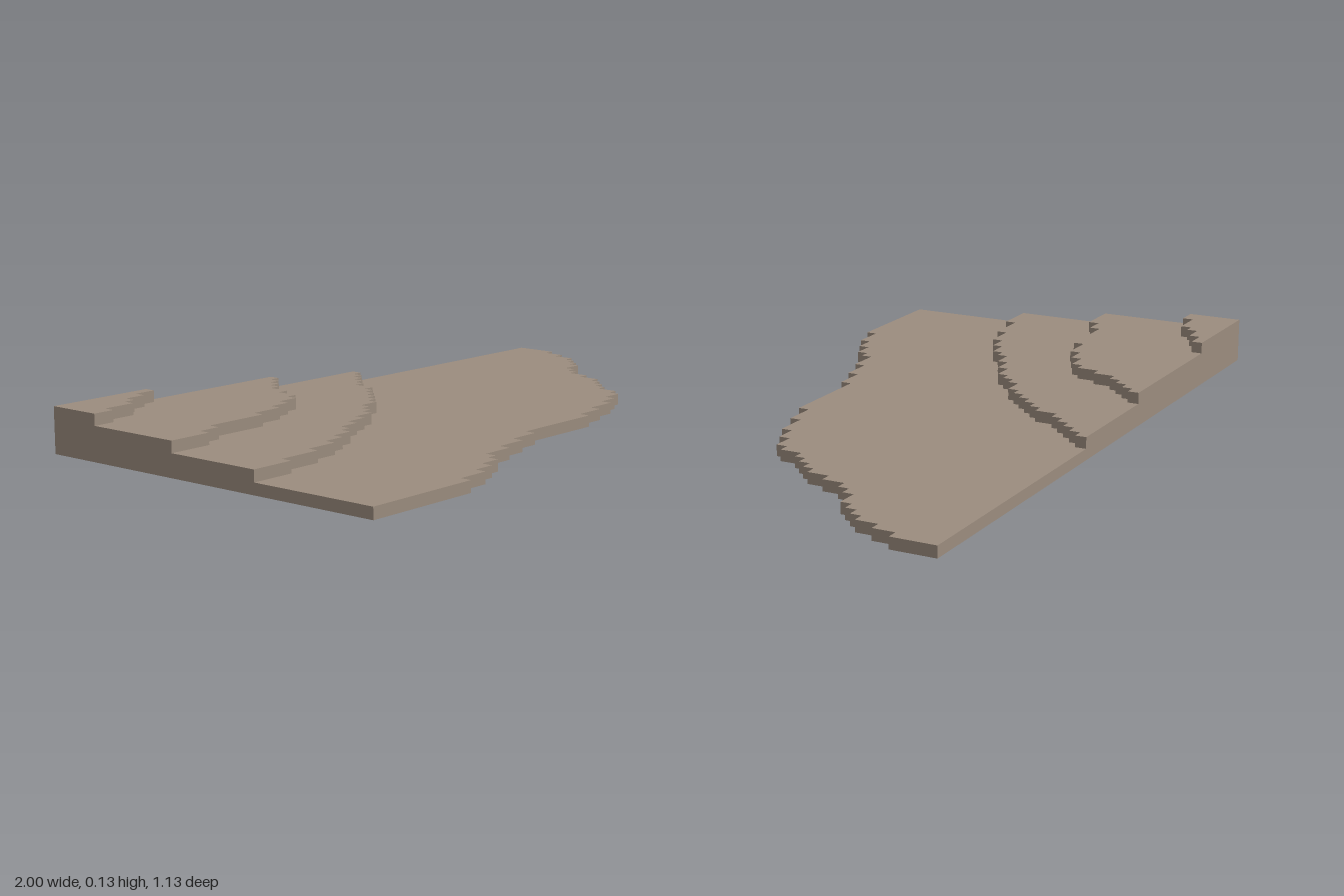
import * as THREE from 'three';

const CELL = 2 / 62;   // terrain grid step
const ROWS = 35;

// Width in cells of every row of each terrace, from the back row forward
const TERRACES = [
  ['baseTerrace', [62, 62, 62, 62, 61, 61, 60, 60, 59, 58, 57, 55, 54, 53, 53, 52, 52, 51,
    50, 49, 48, 48, 47, 45, 43, 40, 37, 28, 25, 22, 19, 18, 16, 14, 11]],
  ['secondTerrace', [36, 35, 34, 33, 32, 31, 31, 30, 29, 28, 27, 26, 24, 23, 22, 20, 18, 16,
    15, 13, 11, 8, 4]],
  ['thirdTerrace', [25, 24, 23, 22, 21, 21, 20, 20, 19, 17, 15, 12, 6, 4]],
  ['topTerrace', [10, 8, 6, 5, 2]],
];

// Stepped outline: straight back and left sides, staircase along the free edge
function terraceShape(widths) {
  const left = -1, back = ROWS * CELL / 2;
  const shape = new THREE.Shape();
  shape.moveTo(left, back);
  shape.lineTo(left, back - widths.length * CELL);
  for (let i = widths.length - 1; i >= 0; i--) {
    const x = left + widths[i] * CELL;
    if (widths[i] !== widths[i + 1]) shape.lineTo(x, back - (i + 1) * CELL);
    if (widths[i] !== widths[i - 1]) shape.lineTo(x, back - i * CELL);
  }
  shape.closePath();
  return shape;
}

export function createModel() {
  const group = new THREE.Group();
  group.name = 'terracedHill';
  const earth = new THREE.MeshStandardMaterial({ color: 0x9b8c7e });
  earth.name = 'earth';

  // Stack the terraces, one cell high each
  TERRACES.forEach(([name, widths], level) => {
    const geometry = new THREE.ExtrudeGeometry(terraceShape(widths), { depth: CELL, bevelEnabled: false });
    geometry.rotateX(-Math.PI / 2);
    const mesh = new THREE.Mesh(geometry, earth);
    mesh.name = name;
    mesh.position.y = level * CELL;
    group.add(mesh);
  });
  return group;
}
